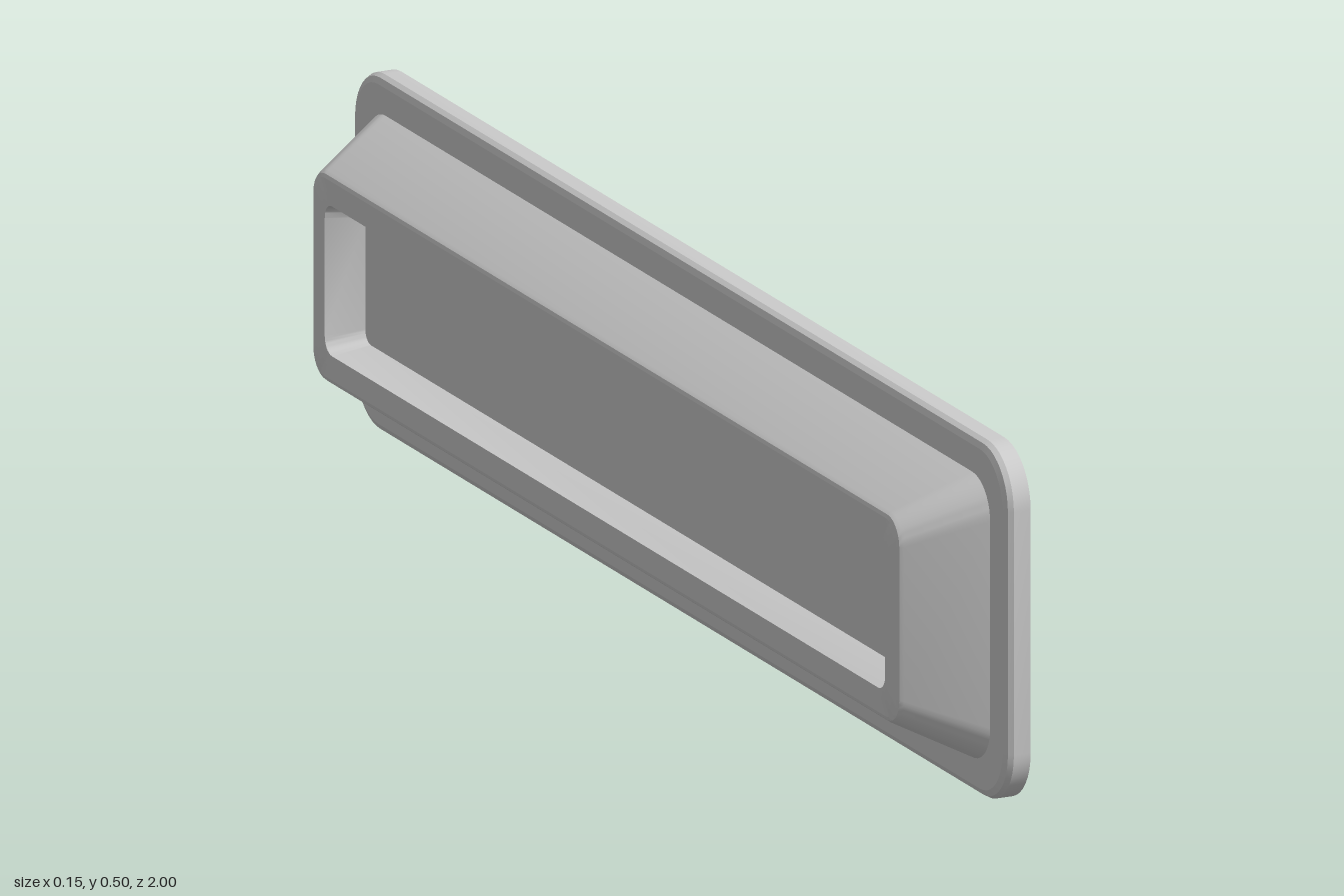
import * as THREE from 'three';
import { toCreasedNormals } from 'three/addons/utils/BufferGeometryUtils.js';

const HALF_Y = 0.25, HALF_Z = 1, CORNER_STEPS = 10;

// Rounded rectangle in the y-z plane, inset from the outer rim
function ring([x, inset, radius]) {
  const points = [];
  for (let corner = 0; corner < 4; corner++) {
    const sy = corner === 0 || corner === 3 ? 1 : -1;
    const sz = corner < 2 ? 1 : -1;
    for (let k = 0; k <= CORNER_STEPS; k++) {
      const a = (corner + k / CORNER_STEPS) * Math.PI / 2;
      points.push([
        x,
        HALF_Y + sy * (HALF_Y - inset - radius) + radius * Math.cos(a),
        sz * (HALF_Z - inset - radius) + radius * Math.sin(a),
      ]);
    }
  }
  return points;
}

// Skin consecutive rings, then close the two ends with flat fans
function loft(sections) {
  const rings = sections.map(ring);
  const n = rings[0].length;
  const pos = [];
  const tri = (a, b, c) => pos.push(...a, ...b, ...c);
  const first = rings[0], last = rings[rings.length - 1];
  const c0 = [sections[0][0], HALF_Y, 0];
  const c1 = [sections[sections.length - 1][0], HALF_Y, 0];
  for (let j = 0; j < n; j++) {
    const k = (j + 1) % n;
    tri(c0, first[j], first[k]);
    for (let i = 0; i < rings.length - 1; i++) {
      tri(rings[i][j], rings[i + 1][j], rings[i + 1][k]);
      tri(rings[i][j], rings[i + 1][k], rings[i][k]);
    }
    tri(last[j], c1, last[k]);
  }
  const geometry = new THREE.BufferGeometry();
  geometry.setAttribute('position', new THREE.Float32BufferAttribute(pos, 3));
  return toCreasedNormals(geometry, 0.35);
}

export function createModel() {
  const group = new THREE.Group();
  group.name = 'recessedTray';

  // Each section: x, inset from the rim, corner radius
  const tray = new THREE.Mesh(
    loft([
      // raised panel inside the recess
      [-0.005, 0.143, 0.02],
      [-0.058, 0.134, 0.025],
      // recess floor and sloping walls
      [-0.058, 0.109, 0.03],
      [0.073, 0.045, 0.05],
      // flange with a rounded back edge
      [0.073, 0, 0.08],
      [0.048, 0, 0.08],
      [0.041, 0.004, 0.076],
      [0.037, 0.012, 0.07],
      [0.037, 0.05, 0.055],
      // outer body with a rounded back edge
      [-0.066, 0.102, 0.04],
      [-0.071, 0.106, 0.037],
      [-0.073, 0.111, 0.034],
      // hollow behind the raised panel
      [-0.073, 0.145, 0.022],
      [-0.017, 0.154, 0.018],
    ]),
    new THREE.MeshStandardMaterial({ color: 0xcccccc })
  );
  tray.name = 'flangedTray';
  group.add(tray);
  return group;
}
